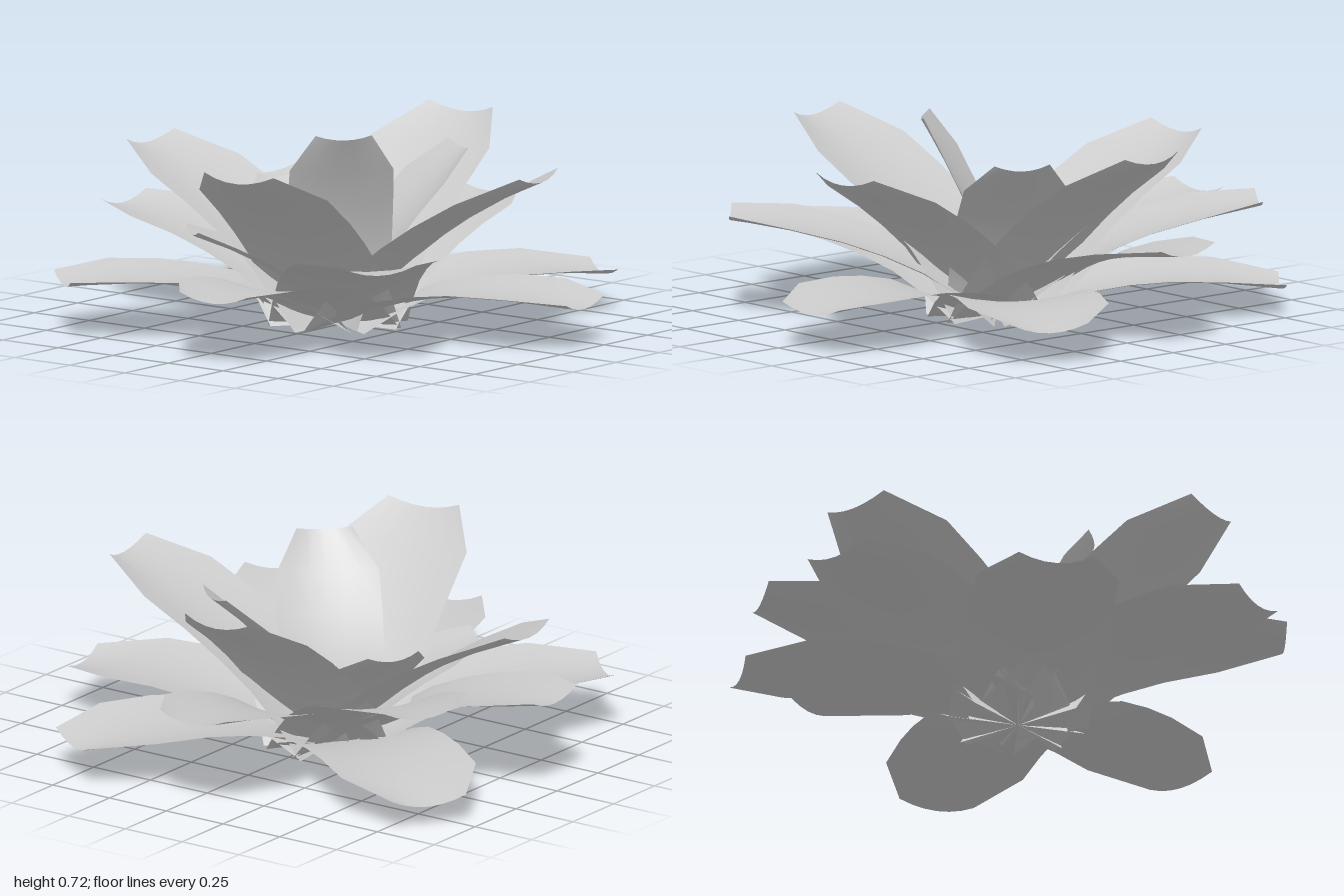
import * as THREE from 'three';

const BASE = new THREE.Vector3(0.015, 0, -0.025);
const material = new THREE.MeshStandardMaterial({ color: 0xcccccc, side: THREE.DoubleSide });

// Half-width of a petal along its length, as [t, fraction]
const OUTLINE = [[0, 0.97], [0.15, 0.98], [0.3, 0.99], [0.45, 1], [0.6, 1], [0.79, 0.98], [1, 0.53]];
const COLUMNS = 6;
const CUP = 0.13;

// A shallow cupped petal that arches from the base to the middle of its tip edge
function petal(name, [x, y, z], halfWidth, bend) {
  const tip = new THREE.Vector3(x, y, z).sub(BASE);
  const reach = Math.hypot(tip.x, tip.z);
  const length = Math.hypot(reach, tip.y);
  const out = new THREE.Vector3(tip.x / reach, 0, tip.z / reach);
  const side = new THREE.Vector3(out.z, 0, -out.x);
  const up = new THREE.Vector3(0, 1, 0);
  const chord = Math.atan2(tip.y, reach);
  const positions = [];
  const indices = [];

  OUTLINE.forEach(([t, fraction], row) => {
    // point on the arched midline, and the pitch there
    const along = length * t;
    const lift = length * bend * 0.5 * t * (1 - t);
    const r = along * Math.cos(chord) - lift * Math.sin(chord);
    const h = along * Math.sin(chord) + lift * Math.cos(chord);
    const pitch = chord + bend * (0.5 - t);
    const cup = CUP * halfWidth * Math.min(1, t * 4);
    for (let c = 0; c <= COLUMNS; c++) {
      const u = 2 * c / COLUMNS - 1;
      const raise = cup * u * u;
      const p = BASE.clone()
        .addScaledVector(out, r - raise * Math.sin(pitch))
        .addScaledVector(up, h + raise * Math.cos(pitch))
        .addScaledVector(side, halfWidth * fraction * u);
      positions.push(p.x, p.y, p.z);
      if (row && c) {
        const b = row * (COLUMNS + 1) + c;
        const a = b - COLUMNS - 1;
        indices.push(a - 1, a, b, a - 1, b, b - 1);
      }
    }
  });

  const geometry = new THREE.BufferGeometry();
  geometry.setAttribute('position', new THREE.Float32BufferAttribute(positions, 3));
  geometry.setIndex(indices);
  geometry.computeVertexNormals();
  const mesh = new THREE.Mesh(geometry, material);
  mesh.name = name;
  return mesh;
}

// Tip positions of each ring of petals
const RINGS = [
  { name: 'lowerPetal', halfWidth: 0.255, bend: 0.6, tips: [
    [0.005, 0.33, -0.995], [0.16, 0.14, 0.98], [0.975, 0.335, -0.095], [-0.965, 0.23, 0.18],
  ] },
  { name: 'diagonalPetal', halfWidth: 0.26, bend: 0.6, tips: [
    [0.595, 0.075, -0.865], [0.555, 0.38, -0.8], [0.89, 0.115, 0.49],
    [-0.765, 0.175, -0.66], [-0.64, 0.34, 0.67],
  ] },
  { name: 'upperPetal', halfWidth: 0.26, bend: 0.45, tips: [
    [0.015, 0.56, -0.89], [0.13, 0.585, 0.81], [0.81, 0.65, -0.08], [-0.785, 0.635, 0.145],
  ] },
  { name: 'innerPetal', halfWidth: 0.19, bend: 0.5, tips: [
    [-0.185, 0.71, 0.16], [0.43, 0.605, 0.215], [0.25, 0.45, -0.465], [-0.4, 0.34, -0.37],
  ] },
];

export function createModel() {
  const flower = new THREE.Group();
  flower.name = 'flower';
  for (const { name, halfWidth, bend, tips } of RINGS) {
    const ring = new THREE.Group();
    ring.name = name + 's';
    tips.forEach((tip) => ring.add(petal(name, tip, halfWidth, bend)));
    flower.add(ring);
  }
  return flower;
}
